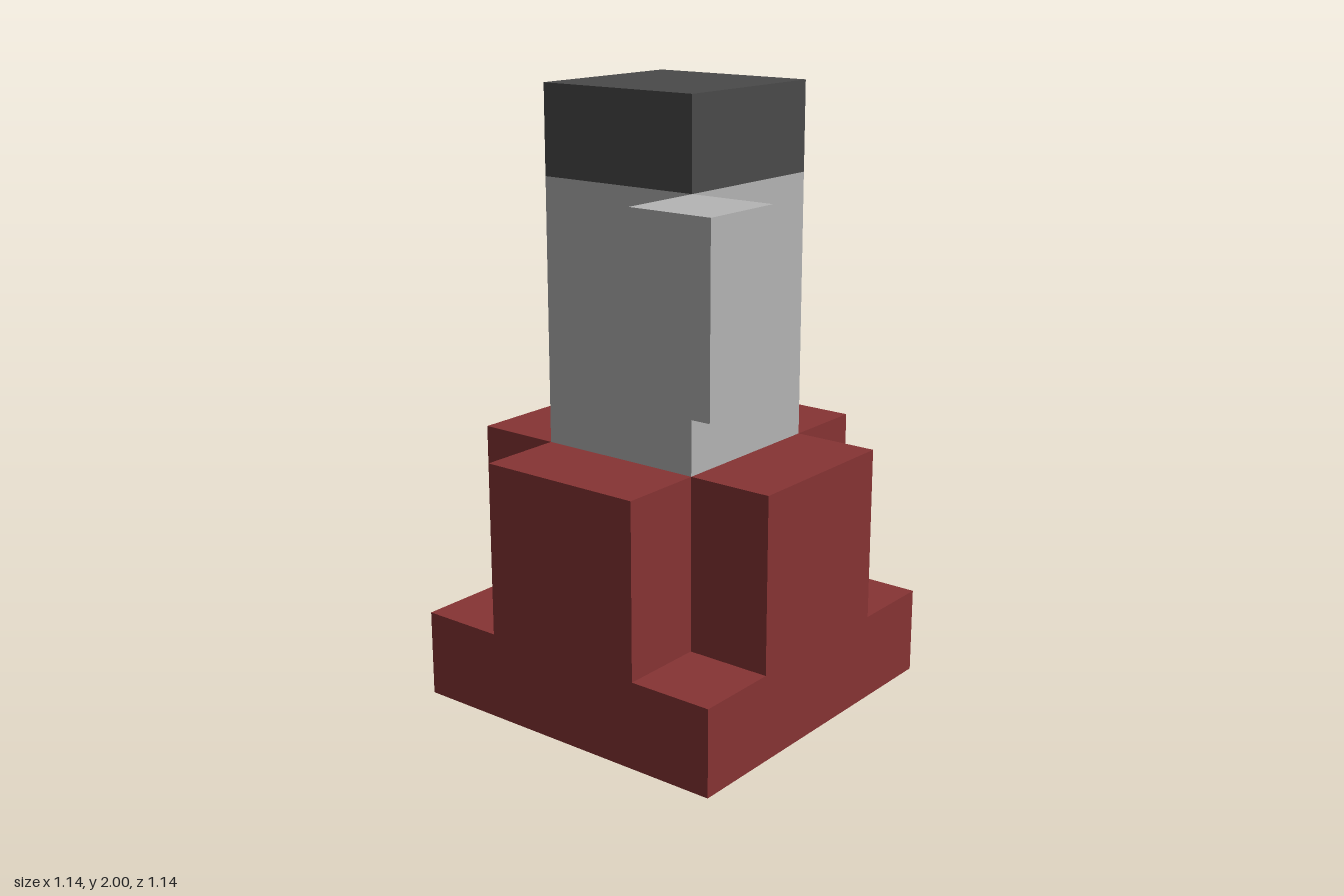
import * as THREE from 'three';

export function createModel() {
  const u = 2 / 7; // building unit: the model is 4 x 7 x 4 units
  const material = (name, color) => {
    const m = new THREE.MeshStandardMaterial({ color });
    m.name = name;
    return m;
  };
  const red = material('brick red', 0x873434);
  const grey = material('light grey', 0xb5b5b5);
  const dark = material('dark grey', 0x4a4a4a);

  const model = new THREE.Group();
  model.name = 'tower';

  const add = (name, geometry, mat) => {
    const mesh = new THREE.Mesh(geometry, mat);
    mesh.name = name;
    model.add(mesh);
  };
  // Box of w x h x d units, standing at height y and centred on x, z
  const block = (name, mat, [w, h, d], [x, y, z]) =>
    add(name, new THREE.BoxGeometry(w * u, h * u, d * u)
      .translate(x * u, (y + h / 2) * u, z * u), mat);

  // Square base slab
  block('baseSlab', red, [4, 1, 4], [0, 0, 0]);

  // Cross-shaped plinth with four notched corners
  const corners = [[1, 2], [1, 1], [2, 1], [2, -1], [1, -1], [1, -2],
    [-1, -2], [-1, -1], [-2, -1], [-2, 1], [-1, 1], [-1, 2]];
  const cross = new THREE.Shape(corners.map(([x, y]) => new THREE.Vector2(x * u, y * u)));
  add('crossPlinth', new THREE.ExtrudeGeometry(cross, { depth: 2 * u, bevelEnabled: false })
    .rotateX(-Math.PI / 2).translate(0, u, 0), red);

  // Square shaft and its cap
  block('shaft', grey, [2, 3, 2], [0, 3, 0]);
  block('cap', dark, [2, 1, 2], [0, 6, 0]);

  // Block touching the shaft at its front left edge
  block('cornerBlock', grey, [1, 2, 1], [1.5, 4, 1.5]);

  return model;
}
